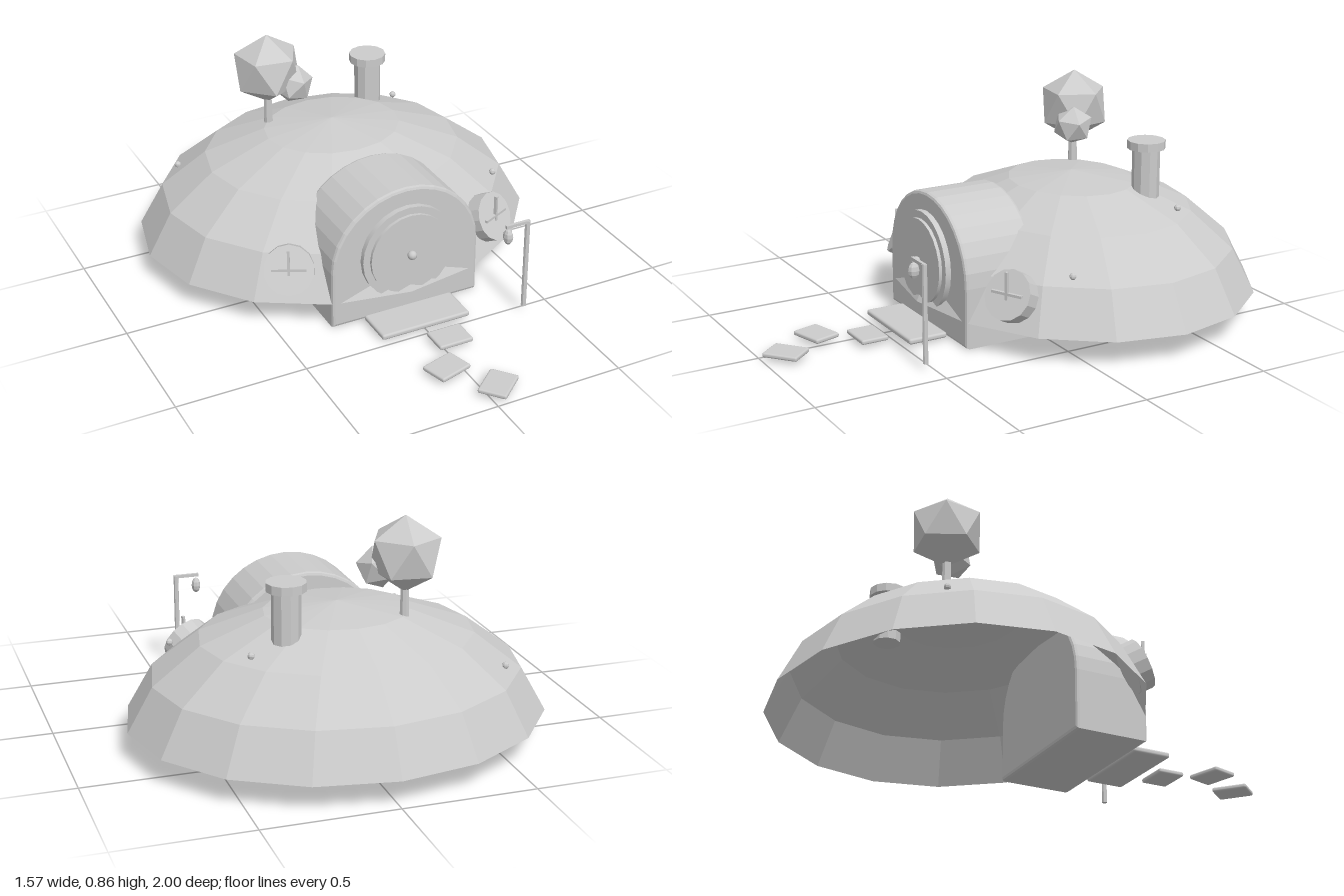
import * as THREE from 'three';
import { RoundedBoxGeometry } from 'three/addons/geometries/RoundedBoxGeometry.js';

export function createModel() {
  const root = new THREE.Group();
  const flat = new THREE.MeshStandardMaterial({ color: 0xcccccc, flatShading: true });
  const smooth = new THREE.MeshStandardMaterial({ color: 0xcccccc });
  const shell = new THREE.MeshStandardMaterial({ color: 0xcccccc, flatShading: true, side: THREE.DoubleSide });

  function add(name, geometry, x, y, z, material = flat, parent = root) {
    const mesh = new THREE.Mesh(geometry, material);
    mesh.name = name;
    mesh.position.set(x, y, z);
    parent.add(mesh);
    return mesh;
  }
  const slab = (w, h, d) => new RoundedBoxGeometry(w, h, d, 2, Math.min(w, h, d) * 0.4);
  const disc = (r, depth, sides) => new THREE.CylinderGeometry(r, r, depth, sides).rotateX(Math.PI / 2);

  // Open hill dome
  const dome = new THREE.SphereGeometry(1, 16, 4, 0, Math.PI * 2, 0, THREE.MathUtils.degToRad(80));
  dome.scale(0.797, 0.508, 0.69);
  add('hillDome', dome, 0, 0.012, -0.32, shell);

  // Arched porch with bevelled edges
  const b = 0.012, half = 0.305 - b, spring = 0.23;
  const arch = new THREE.Shape();
  arch.moveTo(-half, b);
  arch.lineTo(half, b);
  arch.lineTo(half, spring);
  arch.absellipse(0, spring, half, 0.52 - b - spring, 0, Math.PI, false);
  arch.closePath();
  const porch = new THREE.ExtrudeGeometry(arch, {
    depth: 0.293 - 2 * b, bevelThickness: b, bevelSize: b, bevelSegments: 2, curveSegments: 8,
  });
  add('porch', porch, 0, 0, 0.02 + b, smooth);

  // Round door
  add('doorFrame', disc(0.19, 0.035, 24), 0, 0.26, 0.3175, smooth);
  add('doorPanel', disc(0.162, 0.035, 24), 0, 0.26, 0.33, smooth);
  add('doorKnob', new THREE.SphereGeometry(0.018, 10, 8), 0, 0.26, 0.36, smooth);

  // Doorstep and stepping stones
  add('doorstep', slab(0.365, 0.022, 0.155), 0, 0.02, 0.405, smooth);
  const stones = [[0.04, 0.585, 0], [-0.063, 0.745, 0.28], [0.05, 0.914, 0.7]];
  for (const [x, z, turn] of stones) {
    add('steppingStone', slab(0.138, 0.018, 0.108), x, 0.023, z, smooth).rotation.y = turn;
  }

  // Tilted round windows with upright cross bars
  for (const side of [-1, 1]) {
    const frame = new THREE.Group();
    frame.name = side > 0 ? 'leftWindow' : 'rightWindow';
    frame.position.set(side * 0.425, 0.225, 0.195);
    frame.rotation.y = side * 0.45;
    root.add(frame);
    const pane = add('windowDisc', disc(0.095, 0.06, 14), 0, 0, 0, flat, frame);
    pane.rotation.x = -0.47;
    add('verticalBar', new THREE.BoxGeometry(0.01, 0.17, 0.012), 0, 0.015, 0.03, flat, frame);
    add('horizontalBar', new THREE.BoxGeometry(0.13, 0.01, 0.012), 0, 0.018, 0.03, flat, frame);
  }

  // Chimney
  add('chimney', new THREE.CylinderGeometry(0.053, 0.053, 0.2, 10), 0.247, 0.55, -0.5);
  add('chimneyCap', new THREE.CylinderGeometry(0.073, 0.073, 0.032, 12), 0.247, 0.656, -0.5);

  // Tree with faceted foliage, one corner pointing up
  add('treeTrunk', new THREE.CylinderGeometry(0.015, 0.02, 0.22, 8), -0.21, 0.53, -0.46);
  const crown = new THREE.IcosahedronGeometry(0.142, 0);
  crown.rotateZ(Math.atan(2 / (1 + Math.sqrt(5)))).rotateY(-0.45);
  add('treeCrown', crown, -0.208, 0.718, -0.462);
  const tuft = add('treeTuft', new THREE.IcosahedronGeometry(0.08, 0), -0.125, 0.66, -0.405);
  tuft.rotation.set(0.2, 0.4, 0.3);

  // Lamp post with hanging lantern
  add('lampPost', new THREE.CylinderGeometry(0.01, 0.01, 0.37, 8), 0.39, 0.207, 0.525);
  add('lampArm', new THREE.BoxGeometry(0.1, 0.012, 0.012), 0.348, 0.388, 0.525);
  const lantern = new THREE.SphereGeometry(1, 8, 6);
  lantern.scale(0.018, 0.031, 0.022);
  add('lantern', lantern, 0.308, 0.345, 0.525);

  // Little flowers on the hill
  const flowers = [[0.545, 0.305, 0.012], [0.39, 0.432, -0.55], [-0.548, 0.305, -0.605]];
  for (const [x, y, z] of flowers) add('flower', new THREE.SphereGeometry(0.013, 8, 6), x, y, z);

  return root;
}
